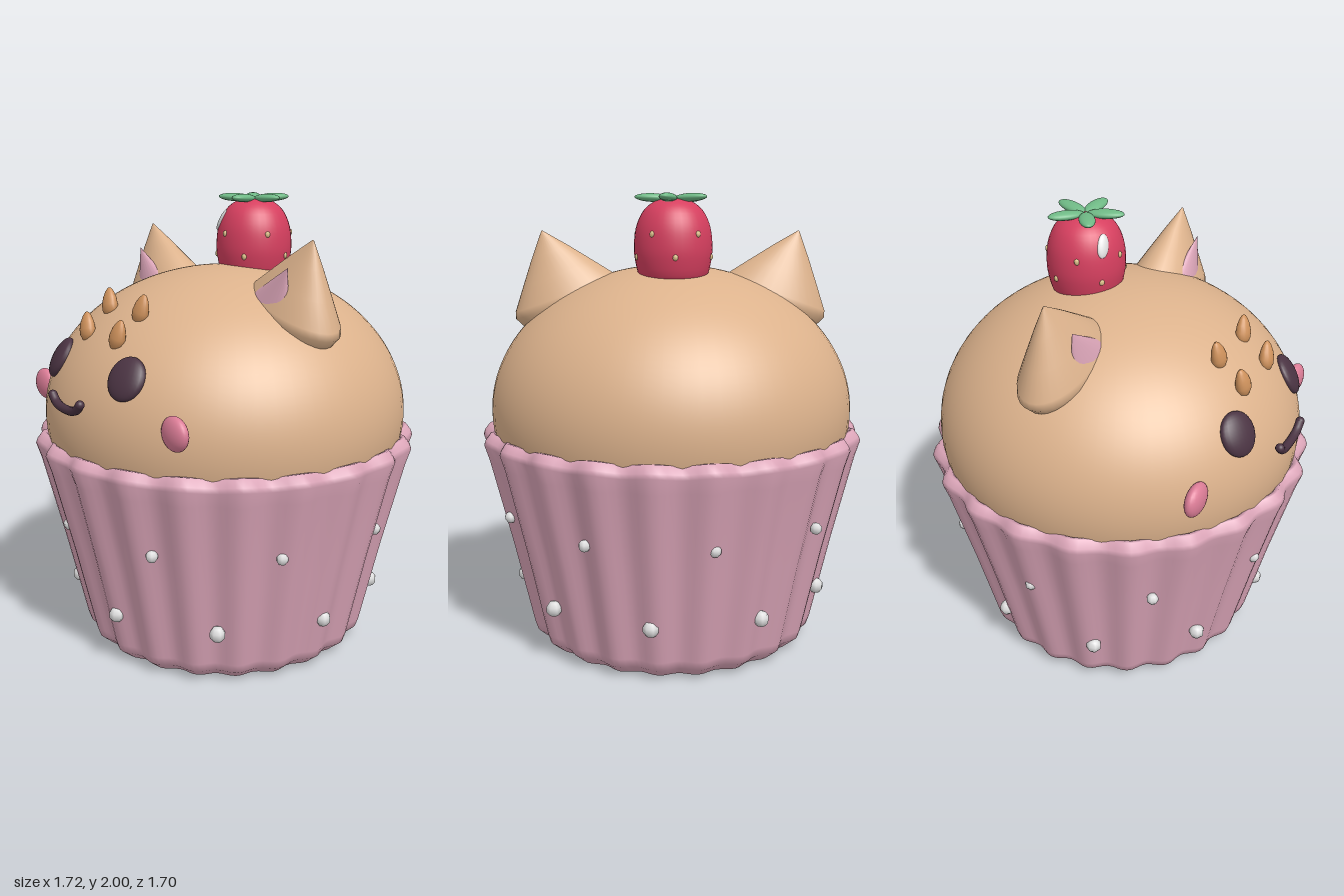
import * as THREE from 'three';
import { mergeVertices } from 'three/addons/utils/BufferGeometryUtils.js';

const mat = (name, color) => {
  const m = new THREE.MeshStandardMaterial({ color });
  m.name = name;
  return m;
};
const V2 = (pts) => pts.map(([x, y]) => new THREE.Vector2(x, y));

export function createModel() {
  const root = new THREE.Group();
  root.name = 'cupcakeCat';
  const tan = mat('cakeTan', 0xdcb28c);
  const pink = mat('wrapperPink', 0xdba5b8);
  const red = mat('berryRed', 0xd63f5f);
  const green = mat('leafGreen', 0x6fb985);
  const dark = mat('faceDark', 0x4a3342);
  const rose = mat('cheekRose', 0xdc7d97);
  const orange = mat('markOrange', 0xcf925c);
  const white = mat('dotWhite', 0xdedede);
  const cream = mat('seedCream', 0xdcc08a);

  const add = (name, geo, material, pos = [0, 0, 0], scale = [1, 1, 1], rot = [0, 0, 0], parent = root) => {
    const m = new THREE.Mesh(geo, material);
    m.name = name;
    m.position.set(...pos);
    m.scale.set(...scale);
    m.rotation.set(...rot);
    parent.add(m);
    return m;
  };
  const ball = new THREE.SphereGeometry(1, 24, 16);
  const pebble = new THREE.SphereGeometry(1, 7, 5);

  // Fluted wrapper: a lathe whose radius ripples 22 times around
  let cup = new THREE.LatheGeometry(V2([
    [0, 0], [0.3, 0], [0.56, 0], [0.58, 0.005], [0.632, 0.05], [0.645, 0.09], [0.73, 0.48],
    [0.82, 0.86], [0.842, 0.925], [0.835, 0.945], [0.812, 0.975], [0.795, 0.972], [0.77, 0.93],
  ]), 176);
  const p = cup.attributes.position;
  for (let i = 0; i < p.count; i++) {
    const x = p.getX(i), y = p.getY(i), z = p.getZ(i);
    const wave = Math.cos(22 * Math.atan2(z, x));
    const k = 1 + 0.021 * wave;
    p.setXYZ(i, x * k, y > 0.9 ? y + 0.007 * wave : y, z * k);
  }
  cup.deleteAttribute('uv');
  cup.deleteAttribute('normal');
  cup = mergeVertices(cup, 1e-5);
  cup.computeVertexNormals();
  add('wrapper', cup, pink);

  // Two staggered rows of nine dots on the wrapper
  for (const [y, r, size, shift] of [[0.255, 0.688, 0.035, 0], [0.61, 0.765, 0.026, 0.5]]) {
    for (let i = 0; i < 9; i++) {
      const a = ((i + shift) / 9) * Math.PI * 2;
      add('wrapperDot', pebble, white, [r * Math.cos(a), y, r * Math.sin(a)], [size, size, size], [0, -a, 0]);
    }
  }

  // Cake dome
  const A = 0.81, B = 0.645, CY = 1.05;
  add('cakeDome', new THREE.SphereGeometry(1, 64, 40, 0, Math.PI * 2, 0, Math.PI * 0.62), tan, [0, CY, 0], [A, B, A]);
  const domeZ = (x, y) => A * Math.sqrt(1 - (x / A) ** 2 - ((y - CY) / B) ** 2);

  // Ears, eyes, cheeks and forehead marks, mirrored
  const earGeo = new THREE.LatheGeometry(V2([
    [0, -0.1], [0.15, -0.09], [0.225, -0.05], [0.25, 0], [0.24, 0.03], [0.165, 0.125], [0.085, 0.225], [0.004, 0.32], [0, 0.322],
  ]), 32);
  const innerGeo = new THREE.ConeGeometry(0.115, 0.2, 24);
  innerGeo.translate(0, 0.1, 0);
  const markGeo = new THREE.LatheGeometry(V2([
    [0, -0.065], [0.024, -0.056], [0.039, -0.034], [0.042, -0.01], [0.035, 0.022], [0.022, 0.048], [0.01, 0.062], [0, 0.065],
  ]), 20);
  for (const s of [1, -1]) {
    add('ear', earGeo, tan, [s * 0.461, 1.54, 0], [1, 1, 0.6], [0, 0, -s * 0.35]);
    add('innerEar', innerGeo, pink, [s * 0.435, 1.563, 0.098], [1, 1, 0.4], [0, 0, -s * 0.52]);

    const ex = s * 0.265, ey = 1.322, ez = domeZ(ex, ey);
    const eye = add('eye', ball, dark, [ex, ey, ez], [0.085, 0.093, 0.034]);
    eye.lookAt(ex + ex / A ** 2, ey + (ey - CY) / B ** 2, ez + ez / A ** 2);

    add('cheek', ball, rose, [s * 0.52, 1.15, 0.635], [0.078, 0.07, 0.036]);
    add('upperMark', markGeo, orange, [s * 0.122, 1.56, 0.52], [1, 1, 0.72], [-0.15, 0, -s * 0.25]);
    add('lowerMark', markGeo, orange, [s * 0.122, 1.468, 0.632], [1, 1, 0.72], [-0.15, 0, -s * 0.25]);
  }

  // Smiling mouth
  const smile = new THREE.CatmullRomCurve3(
    [[-0.113, 1.206], [-0.085, 1.18], [-0.045, 1.167], [0, 1.164], [0.045, 1.167], [0.085, 1.18], [0.113, 1.206]]
      .map(([x, y]) => new THREE.Vector3(x, y, 0.812)));
  add('mouth', new THREE.TubeGeometry(smile, 32, 0.019, 10), dark);
  for (const s of [1, -1]) add('mouthEnd', ball, dark, [s * 0.113, 1.206, 0.812], [0.019, 0.019, 0.019]);

  // Strawberry with seeds, highlight and leaves
  const berry = new THREE.Group();
  berry.name = 'strawberry';
  berry.position.z = -0.165;
  root.add(berry);
  const fruit = new THREE.SplineCurve(V2([
    [0, 1.6], [0.08, 1.605], [0.14, 1.64], [0.164, 1.72], [0.168, 1.79], [0.157, 1.865], [0.125, 1.93], [0.07, 1.97], [0, 1.982],
  ])).getPoints(28).map((v) => new THREE.Vector2(Math.max(v.x, 0), v.y));
  add('berryBody', new THREE.LatheGeometry(fruit, 36), red, undefined, undefined, undefined, berry);
  for (const [y, r, shift] of [[1.83, 0.163, 0], [1.735, 0.165, 0.5]]) {
    for (let i = 0; i < 5; i++) {
      const a = ((i + shift) / 5) * Math.PI * 2;
      add('seed', pebble, cream, [r * Math.sin(a), y, r * Math.cos(a)], [0.012, 0.014, 0.009], [0, a, 0], berry);
    }
  }
  const shine = add('berryHighlight', ball, white, [-0.073, 1.885, 0.125], [0.026, 0.05, 0.012], [0, 0, 0], berry);
  shine.rotation.set(-0.5, -0.5, -0.55);
  for (let i = 0; i < 5; i++) {
    const leaf = new THREE.Group();
    leaf.name = 'leaf';
    leaf.rotation.y = (i / 5) * Math.PI * 2;
    berry.add(leaf);
    add('leafBlade', ball, green, [0.085, 1.981, 0], [0.08, 0.018, 0.034], [0, 0, 0.04], leaf);
  }
  return root;
}
